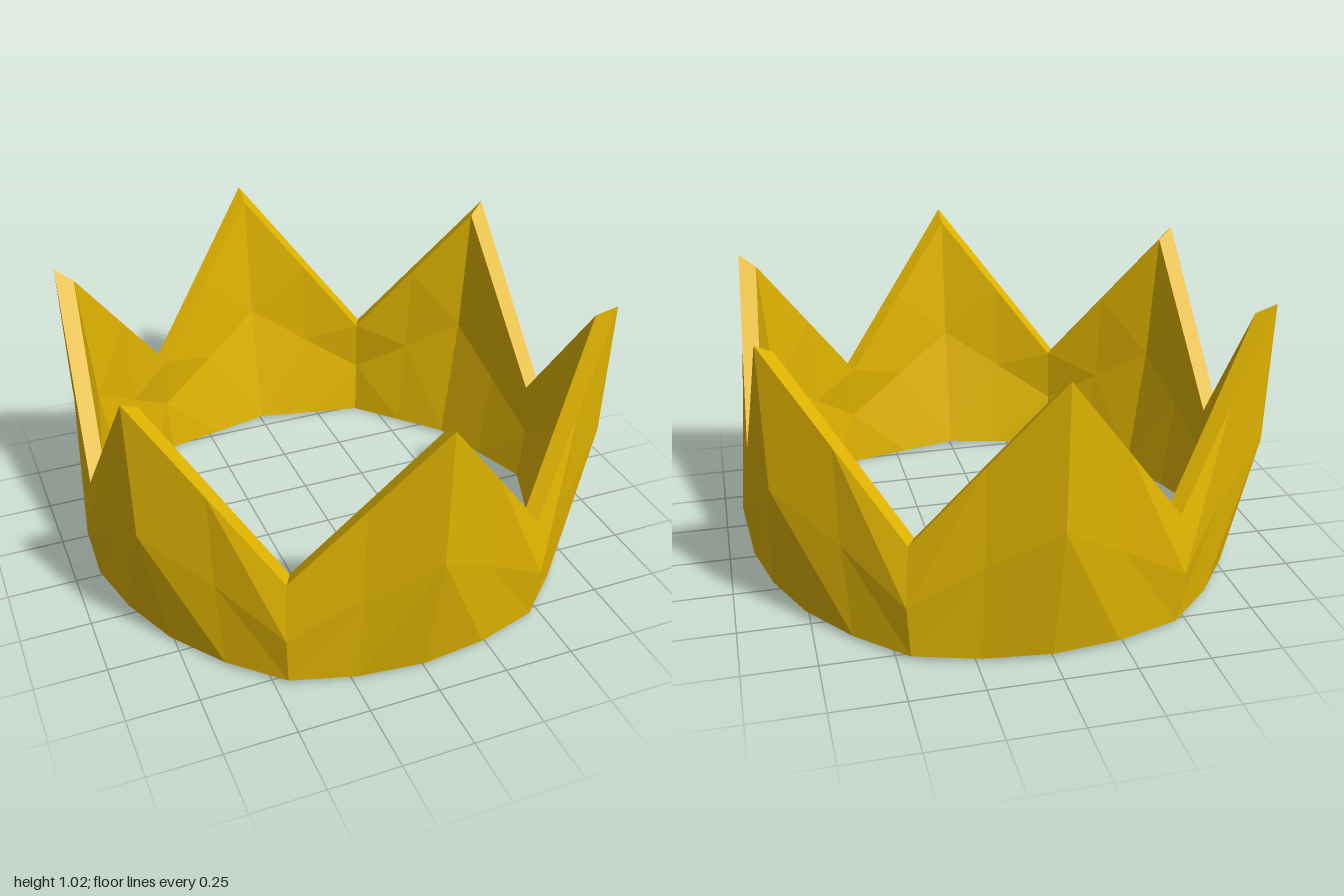
import * as THREE from 'three';

// Closed wall sections as [radius, height]:
// outer bottom, outer middle, outer top, inner top, inner middle, inner bottom
const PEAK = [[0.88, 0.015], [0.987, 0.52], [1.0, 1.02], [0.93, 0.98], [0.885, 0.5], [0.797, 0.018]];
const VALLEY = [[0.91, 0.015], [0.937, 0.21], [0.905, 0.42], [0.848, 0.42], [0.865, 0.21], [0.845, 0]];
// Radial swell of the halfway sections: rounder at the foot, pinched at the middle
const SWELL = [1.024, 0.98, 1, 1, 1, 1];
const POINTS = 6;

function section(profile, angle) {
  return profile.map(([r, y]) => new THREE.Vector3(r * Math.sin(angle), y, r * Math.cos(angle)));
}

function halfway(from, to) {
  return from.map((p, j) => {
    const s = SWELL[j];
    return p.clone().lerp(to[j], 0.5).multiply(new THREE.Vector3(s, 1, s));
  });
}

export function createModel() {
  // Alternate peak and valley sections, with a halfway section between each pair
  const main = [];
  for (let i = 0; i < POINTS * 2; i++) {
    main.push(section(i % 2 ? VALLEY : PEAK, (i * Math.PI) / POINTS));
  }
  const rings = main.flatMap((ring, i) => [ring, halfway(ring, main[(i + 1) % main.length])]);

  // Skin neighbouring sections with quads, mirroring the diagonals about each peak
  const n = PEAK.length;
  const index = [];
  for (let i = 0; i < rings.length; i++) {
    const k = (i + 1) % rings.length;
    for (let j = 0; j < n; j++) {
      const m = (j + 1) % n;
      const a = i * n + j, b = k * n + j, c = k * n + m, d = i * n + m;
      if (i % 4 < 2) index.push(a, b, d, b, c, d);
      else index.push(a, b, c, a, c, d);
    }
  }
  let geometry = new THREE.BufferGeometry().setFromPoints(rings.flat());
  geometry.setIndex(index);
  geometry = geometry.toNonIndexed();
  geometry.computeVertexNormals();

  const gold = new THREE.MeshStandardMaterial({ color: 0xe0b400, flatShading: true });
  const crown = new THREE.Mesh(geometry, gold);
  crown.name = 'crownBand';

  const group = new THREE.Group();
  group.name = 'crown';
  group.add(crown);
  return group;
}
